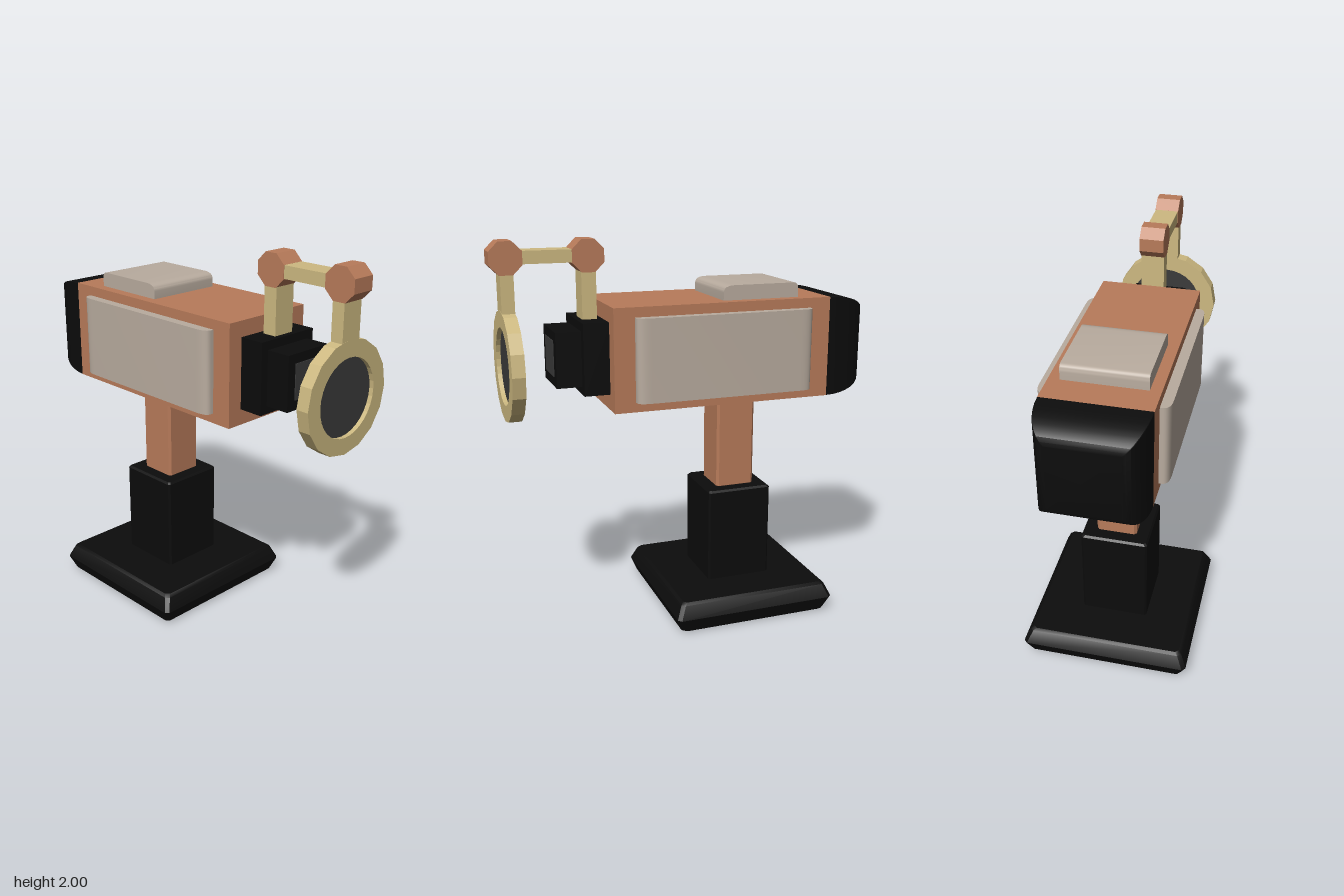
import * as THREE from 'three';
import { toCreasedNormals } from 'three/addons/utils/BufferGeometryUtils.js';

const mat = (name, color) => {
  const m = new THREE.MeshStandardMaterial({ color });
  m.name = name;
  return m;
};

// Chamfered-square sections [height, halfWidth], lofted along y and closed at both ends
function squareLoft(sections, chamfer, crease = 0.5) {
  const pos = [], idx = [];
  for (const [y, h] of sections) {
    const c = h - chamfer;
    for (const [x, z] of [[h, c], [c, h], [-c, h], [-h, c], [-h, -c], [-c, -h], [c, -h], [h, -c]]) pos.push(x, y, z);
  }
  const last = (sections.length - 1) * 8;
  for (let s = 0; s < last; s += 8) {
    for (let i = 0; i < 8; i++) {
      const a = s + i, b = s + (i + 1) % 8;
      idx.push(a, a + 8, b, b, a + 8, b + 8);
    }
  }
  for (let i = 1; i < 7; i++) {
    idx.push(0, i, i + 1);
    idx.push(last, last + i + 1, last + i);
  }
  const g = new THREE.BufferGeometry();
  g.setAttribute('position', new THREE.Float32BufferAttribute(pos, 3));
  g.setIndex(idx);
  return toCreasedNormals(g, crease);
}

// Upright block with slightly softened rims
function softColumn(y0, y1, h, soft) {
  return squareLoft([[y0, h - soft], [y0 + soft, h], [y1 - soft, h], [y1, h - soft]], soft);
}

// Raised plate: rounded at its two x ends, straight along z
function plate(x0, x1, thick, length, rLeft, rRight, drop) {
  const s = new THREE.Shape();
  s.moveTo(x0, 0);
  s.lineTo(x1, 0);
  s.lineTo(x1, thick - drop);
  s.quadraticCurveTo(x1, thick, x1 - rRight, thick);
  s.lineTo(x0 + rLeft, thick);
  s.quadraticCurveTo(x0, thick, x0, thick - drop);
  const g = new THREE.ExtrudeGeometry(s, { depth: length, bevelEnabled: false, curveSegments: 6 });
  g.translate(0, 0, -length / 2);
  return toCreasedNormals(g, 0.5);
}

export function createModel() {
  const black = mat('black', 0x0c0c0c);
  const copper = mat('copper', 0xb87b5a);
  const brass = mat('brass', 0xcdb981);
  const grey = mat('warmGrey', 0xb9ac9f);
  const glass = mat('darkGlass', 0x3b3b3b);

  const model = new THREE.Group();
  const add = (name, geo, m, x = 0, y = 0, z = 0) => {
    const mesh = new THREE.Mesh(geo, m);
    mesh.name = name;
    mesh.position.set(x, y, z);
    model.add(mesh);
    return mesh;
  };
  // Box given by its x and y limits and its depth
  const box = (name, m, x0, x1, y0, y1, d) =>
    add(name, new THREE.BoxGeometry(x1 - x0, y1 - y0, d), m, (x0 + x1) / 2, (y0 + y1) / 2);

  // Stand
  const standX = -0.293;
  add('base', squareLoft([[0, 0.395], [0.012, 0.41], [0.085, 0.44], [0.153, 0.41], [0.165, 0.395]], 0.018), black, standX);
  add('column', softColumn(0.15, 0.67, 0.175, 0.01), black, standX);
  add('post', softColumn(0.66, 1.175, 0.105, 0.012), copper, standX);

  // Body with rounded rear cap
  const bodyY = 1.43;
  box('body', copper, -0.74, 0.415, 1.17, 1.69, 0.52);
  const capSections = [];
  for (let i = 0; i <= 8; i++) {
    const a = (i / 8) * Math.PI / 2;
    capSections.push([0.225 * Math.sin(a), 0.17 + 0.09 * Math.cos(a)]);
  }
  const cap = squareLoft(capSections, 0.002, 0.6);
  cap.rotateZ(Math.PI / 2);
  add('rearCap', cap, black, -0.74, bodyY);

  // Raised panels
  add('topPanel', plate(-0.583, -0.172, 0.085, 0.41, 0.025, 0.06, 0.035), grey, 0, 1.68);
  for (const side of [1, -1]) {
    const g = plate(-0.63, 0.308, 0.06, 0.42, 0.07, 0.07, 0.035);
    g.rotateX(side * Math.PI / 2);
    add(side > 0 ? 'frontPanel' : 'backPanel', g, grey, 0, bodyY, side * 0.25);
  }

  // Stepped lens barrel
  box('lensBarrelLarge', black, 0.41, 0.545, 1.25, 1.61, 0.36);
  box('lensBarrelSmall', black, 0.54, 0.673, 1.29, 1.567, 0.277);
  box('lensGlass', glass, 0.67, 0.677, 1.34, 1.52, 0.18);

  // Linkage: two octagonal joints, a bar and two arms
  for (const [name, x] of [['innerJoint', 0.48], ['outerJoint', 0.88]]) {
    const g = new THREE.CylinderGeometry(0.0866, 0.0866, 0.125, 8, 1, false, Math.PI / 8).toNonIndexed();
    g.rotateX(Math.PI / 2);
    g.computeVertexNormals();
    add(name, g, copper, x, 1.92);
  }
  box('linkBar', brass, 0.54, 0.82, 1.89, 1.953, 0.12);
  box('innerArm', brass, 0.443, 0.517, 1.6, 1.86, 0.12);
  box('outerArm', brass, 0.845, 0.91, 1.62, 1.86, 0.12);

  // Sixteen-sided ring holding a dark disc
  const outline = new THREE.Shape();
  for (let i = 0; i < 16; i++) {
    const a = i * Math.PI / 8;
    outline[i ? 'lineTo' : 'moveTo'](0.278 * Math.cos(a), 0.278 * Math.sin(a));
  }
  outline.closePath();
  outline.holes.push(new THREE.Path().absarc(0, 0, 0.193, 0, Math.PI * 2, true));
  const ring = new THREE.ExtrudeGeometry(outline, { depth: 0.065, bevelEnabled: false, curveSegments: 16 });
  ring.translate(0, 0, -0.0325);
  ring.rotateY(Math.PI / 2);
  add('ring', ring, brass, 0.878, 1.39);
  const disc = new THREE.CylinderGeometry(0.194, 0.194, 0.02, 32);
  disc.rotateZ(Math.PI / 2);
  add('disc', disc, glass, 0.878, 1.39);

  return model;
}
